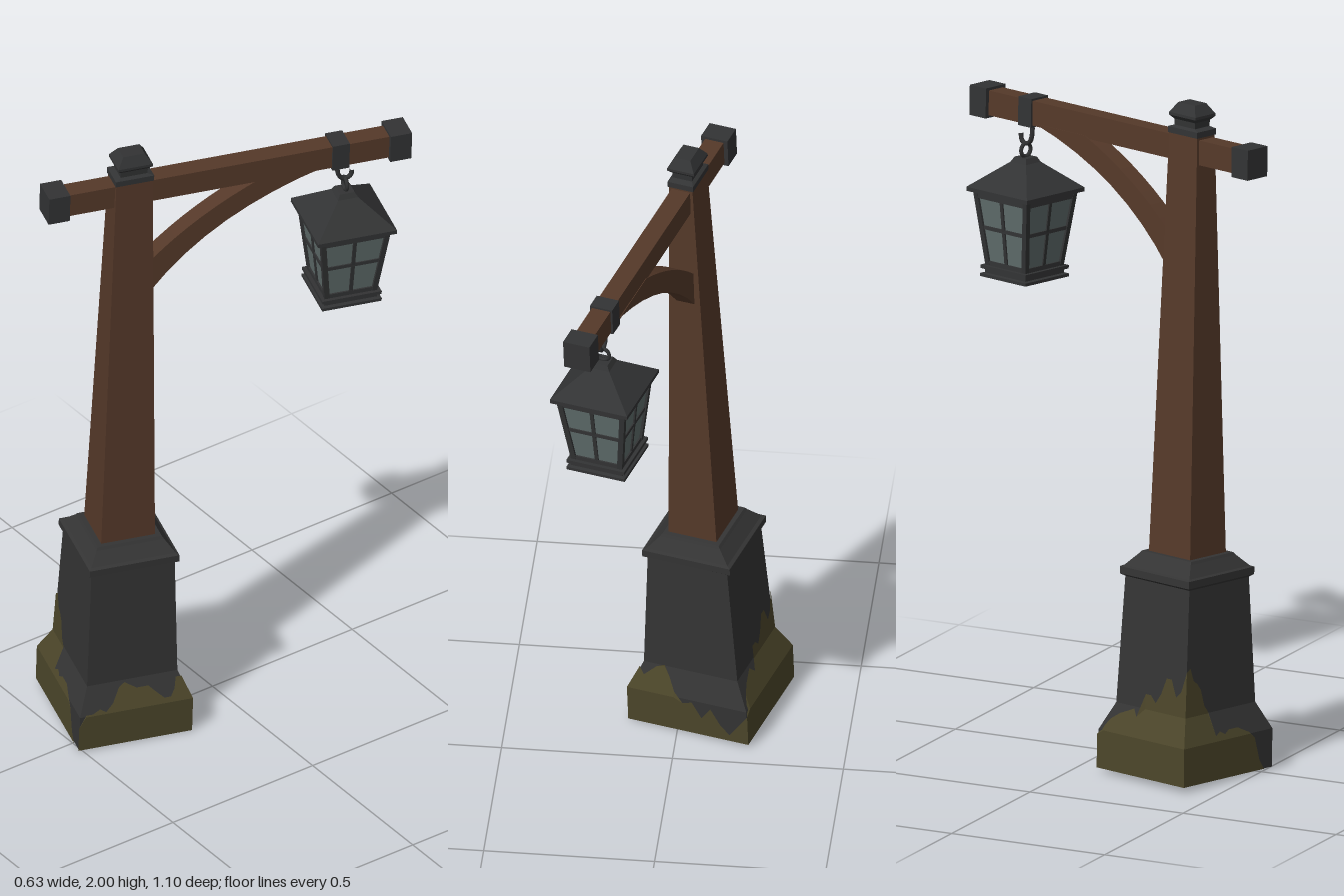
import * as THREE from 'three';

const mat = (name, color) => {
  const m = new THREE.MeshStandardMaterial({ color });
  m.name = name;
  return m;
};

function finish(pos) {
  const g = new THREE.BufferGeometry();
  g.setAttribute('position', new THREE.Float32BufferAttribute(pos, 3));
  g.computeVertexNormals();
  return g;
}

const corners = [[-1, 1], [1, 1], [1, -1], [-1, -1]];

// Rectangular cross-sections [y, width, depth] joined into a flat-faced solid;
// listed downwards, they make a hollow seen from inside
function stack(sections, capEnd = true) {
  const pos = [];
  const loops = sections.map(([y, w, d]) => corners.map(([sx, sz]) => [sx * w / 2, y, sz * d / 2]));
  const quad = (a, b, c, d) => pos.push(...a, ...b, ...c, ...a, ...c, ...d);
  for (let i = 0; i + 1 < loops.length; i++) {
    const a = loops[i], b = loops[i + 1];
    for (let k = 0; k < 4; k++) quad(a[k], a[(k + 1) % 4], b[(k + 1) % 4], b[k]);
  }
  const lo = loops[0], hi = loops[loops.length - 1];
  quad(lo[3], lo[2], lo[1], lo[0]);
  if (capEnd) quad(...hi);
  return finish(pos);
}

// Thin skin on one side of the plinth, with an uneven upper edge
function mossSkin(side, heights, profile) {
  const s = corners[side], e = corners[(side + 1) % 4];
  const point = (u, y) => {
    let i = 0;
    while (i < profile.length - 2 && y > profile[i + 1][0]) i++;
    const [y0, w0, d0] = profile[i], [y1, w1, d1] = profile[i + 1];
    const f = (y - y0) / (y1 - y0);
    const w = w0 + (w1 - w0) * f + 0.006, d = d0 + (d1 - d0) * f + 0.006;
    return [(s[0] + (e[0] - s[0]) * u) * w / 2, y, (s[1] + (e[1] - s[1]) * u) * d / 2];
  };
  const pos = [], n = heights.length - 1;
  const rows = h => [0, Math.min(profile[1][0], h), Math.min(profile[2][0], h), h];
  for (let i = 0; i < n; i++) {
    const l = rows(heights[i]), r = rows(heights[i + 1]);
    for (let j = 0; j < 3; j++) {
      const a = point(i / n, l[j]), b = point((i + 1) / n, r[j]);
      const c = point((i + 1) / n, r[j + 1]), d = point(i / n, l[j + 1]);
      pos.push(...a, ...b, ...c, ...a, ...c, ...d);
    }
  }
  return finish(pos);
}

export function createModel() {
  const wood = mat('wood', 0x553929);
  const stone = mat('stone', 0x343434);
  const iron = mat('iron', 0x323334);
  const moss = mat('moss', 0x4c462a);
  const glass = mat('glass', 0x606d6c);

  const model = new THREE.Group();
  model.name = 'lampPost';
  const add = (name, geo, material, x = 0, y = 0, z = 0, parent = model) => {
    const m = new THREE.Mesh(geo, material);
    m.name = name;
    m.position.set(x, y, z);
    parent.add(m);
    return m;
  };
  const box = (w, h, d) => new THREE.BoxGeometry(w, h, d);

  // Hollow stone plinth with a flared foot; the open underside is mossy
  const plinth = [[0, 0.372, 0.344], [0.115, 0.372, 0.344], [0.195, 0.294, 0.278], [0.576, 0.25, 0.257]];
  add('plinth', stack([[0.42, 0.23, 0.228], [0.18, 0.262, 0.244], [0, 0.324, 0.299], ...plinth]), stone);
  add('plinthInside', stack([[0.417, 0.225, 0.223], [0.178, 0.257, 0.239], [0.001, 0.32, 0.295]], false), moss);
  add('plinthCollar', stack([[0.571, 0.25, 0.257], [0.579, 0.276, 0.276], [0.601, 0.276, 0.276],
    [0.605, 0.255, 0.26], [0.638, 0.19, 0.208], [0.646, 0.178, 0.198]]), stone);

  // Moss creeping up each side: front, left, back, right
  const mossEdges = [
    [0.33, 0.34, 0.3, 0.29, 0.27, 0.22, 0.2, 0.13, 0.14, 0.13, 0.14, 0.14, 0.14, 0.13, 0.12, 0.1, 0.03, 0, 0, 0],
    [0.08, 0.12, 0.12, 0.13, 0.12, 0.14, 0.18, 0.19, 0.18, 0.17, 0.17, 0.17, 0.15, 0.13, 0.13, 0.15, 0.18, 0.18],
    [0.18, 0.16, 0.19, 0.2, 0.17, 0.13, 0.1, 0.11, 0.06, 0.1, 0.05, 0.02, 0.06, 0.1],
    [0.1, 0.15, 0.17, 0.18, 0.19, 0.17, 0.24, 0.24, 0.22, 0.25, 0.3, 0.3, 0.25, 0.27, 0.33],
  ];
  mossEdges.forEach((h, i) => add('moss', mossSkin(i, h, plinth), moss));

  // Tapered wooden post and iron finial
  add('post', stack([[0.636, 0.151, 0.166], [1.905, 0.073, 0.112]]), wood);
  add('postCap', stack([[1.898, 0.08, 0.118], [1.916, 0.08, 0.118], [1.922, 0.06, 0.082],
    [1.94, 0.062, 0.084], [1.952, 0.084, 0.106], [1.96, 0.084, 0.106], [1.99, 0.048, 0.066]]), iron);

  // Cross arm with iron end caps and a strap for the hook
  const armY = 1.854;
  add('arm', box(0.058, 0.074, 1.09), wood, 0, armY, -0.297);
  for (const z of [0.2315, -0.8205]) add('armCap', box(0.083, 0.09, 0.065), iron, 0, armY, z);
  add('hookStrap', box(0.07, 0.086, 0.052), iron, 0, armY, -0.638);

  // Curved brace below the arm; the shape's x runs along the arm
  const s = new THREE.Shape();
  s.moveTo(0.04, 1.475);
  s.lineTo(0.064, 1.49);
  s.quadraticCurveTo(0.25, 1.73, 0.6, 1.825);
  s.lineTo(0.4, 1.825);
  s.quadraticCurveTo(0.2, 1.735, 0.062, 1.6);
  s.lineTo(0.04, 1.58);
  s.closePath();
  const brace = new THREE.ExtrudeGeometry(s, { depth: 0.056, bevelEnabled: false, curveSegments: 8 });
  brace.translate(0, 0, -0.028);
  brace.rotateY(Math.PI / 2);
  add('brace', brace, wood, -0.003);

  // Hanging hook and ring
  const hook = new THREE.CatmullRomCurve3([[-0.64, 1.82], [-0.64, 1.785], [-0.647, 1.76], [-0.665, 1.749],
    [-0.682, 1.758], [-0.685, 1.778]].map(([z, y]) => new THREE.Vector3(0, y, z)));
  add('hook', new THREE.TubeGeometry(hook, 16, 0.007, 6), iron);
  add('ring', new THREE.TorusGeometry(0.02, 0.006, 6, 14), iron, 0, 1.731, -0.665);

  // Lantern
  const lantern = new THREE.Group();
  lantern.name = 'lantern';
  lantern.position.z = -0.665;
  model.add(lantern);
  const part = (name, geo, m) => add(name, geo, m, 0, 0, 0, lantern);
  part('lanternRoof', stack([[1.6, 0.2, 0.2], [1.607, 0.243, 0.243], [1.619, 0.243, 0.243],
    [1.695, 0.062, 0.062], [1.71, 0.046, 0.046]]), iron);
  part('lanternTray', stack([[1.352, 0.183, 0.183], [1.361, 0.183, 0.183], [1.363, 0.162, 0.162],
    [1.374, 0.162, 0.162], [1.376, 0.182, 0.182], [1.386, 0.182, 0.182]]), iron);
  part('lanternGlass', stack([[1.384, 0.146, 0.146], [1.602, 0.2, 0.2]]), glass);

  // Frame bars: corners, middle uprights and cross rails on four sides
  const up = new THREE.Vector3(0, 1, 0);
  const bar = (a, b, t) => {
    const m = part('lanternBar', box(t, a.distanceTo(b), t), iron);
    m.position.copy(a).lerp(b, 0.5);
    m.quaternion.setFromUnitVectors(up, b.clone().sub(a).normalize());
  };
  const half = y => 0.075 + (y - 1.384) / 0.218 * 0.027;
  for (let k = 0; k < 4; k++) {
    const at = (u, y) => new THREE.Vector3(u * half(y), y, half(y) - 0.003)
      .applyAxisAngle(up, k * Math.PI / 2);
    bar(at(-0.97, 1.384), at(-0.97, 1.604), 0.016);
    bar(at(0, 1.384), at(0, 1.604), 0.011);
    for (const [y, t] of [[1.392, 0.014], [1.5, 0.011], [1.595, 0.014]]) bar(at(-0.97, y), at(0.97, y), t);
  }

  // The whole post is turned and leans slightly
  model.rotation.set(-0.006, -0.288, -0.035, 'ZXY');
  model.position.set(-0.083, 0.008, 0.293);
  const root = new THREE.Group();
  root.name = 'streetLamp';
  root.add(model);
  return root;
}
